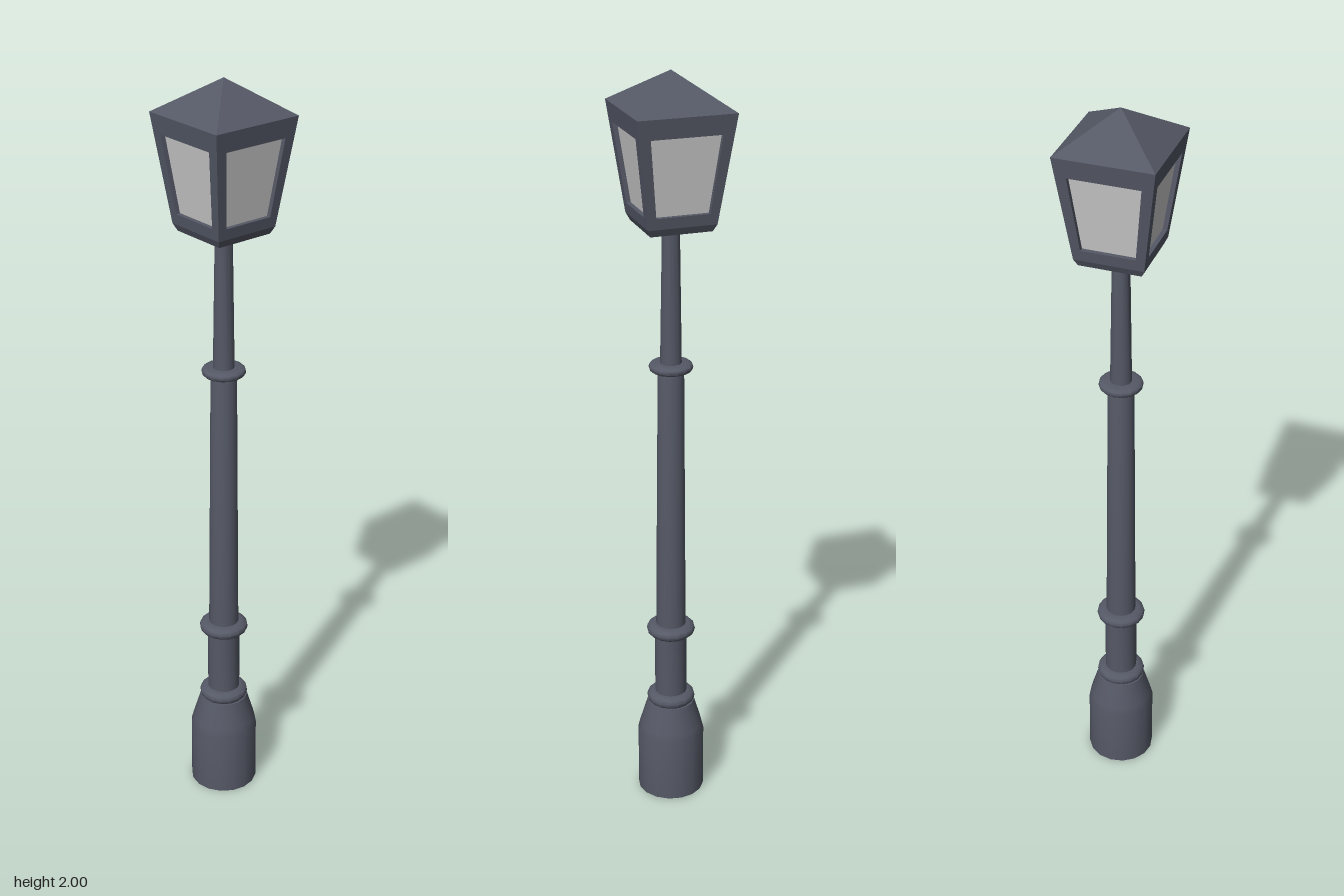
import * as THREE from 'three';
import { toCreasedNormals } from 'three/addons/utils/BufferGeometryUtils.js';

const SEGMENTS = 16;

export function createModel() {
  const lamp = new THREE.Group();
  lamp.name = 'streetLamp';

  const iron = new THREE.MeshStandardMaterial({ color: 0x555966 });
  const ironFlat = new THREE.MeshStandardMaterial({ color: 0x555966, flatShading: true });
  const glass = new THREE.MeshStandardMaterial({ color: 0xc8cccb, side: THREE.DoubleSide });

  const add = (parent, name, geometry, material) => {
    const mesh = new THREE.Mesh(geometry, material);
    mesh.name = name;
    parent.add(mesh);
    return mesh;
  };

  // Turned parts: profile of [radius, height] from bottom to top
  const turned = (name, profile) => {
    const points = profile.map(([r, y]) => new THREE.Vector2(r, y));
    const lathe = new THREE.LatheGeometry(points, SEGMENTS);
    add(lamp, name, toCreasedNormals(lathe, 0.6), iron);
  };

  // Rounded ring around the post
  const ring = (name, y, inner, outer, half) => {
    const profile = [[inner, y - half]];
    for (let i = 0; i <= 6; i++) {
      const a = -Math.PI / 2 + (i / 6) * Math.PI;
      profile.push([outer - half + half * Math.cos(a), y + half * Math.sin(a)]);
    }
    profile.push([inner, y + half]);
    turned(name, profile);
  };

  // Base and post
  turned('base', [[0, 0], [0.09, 0], [0.09, 0.18], [0.085, 0.2], [0.064, 0.27], [0.04, 0.27]]);
  ring('baseCollar', 0.283, 0.035, 0.065, 0.017);
  turned('lowerPost', [[0.043, 0.27], [0.043, 0.49]]);
  turned('middlePost', [[0.04, 0.48], [0.034, 1.22], [0.029, 1.245]]);
  turned('upperPost', [[0.028, 1.235], [0.022, 1.63]]);
  ring('lowerRing', 0.492, 0.03, 0.065, 0.016);
  ring('upperRing', 1.247, 0.024, 0.057, 0.011);

  // Lantern
  const lantern = new THREE.Group();
  lantern.name = 'lantern';
  lamp.add(lantern);

  const Y0 = 1.636, Y1 = 1.913, W0 = 0.089, W1 = 0.126;
  const wall = (y) => W0 + ((W1 - W0) * (y - Y0)) / (Y1 - Y0);

  // Square frustum given half widths and heights
  const square = (name, bottom, top, y0, y1) => {
    const g = new THREE.CylinderGeometry(top * Math.SQRT2, bottom * Math.SQRT2, y1 - y0, 4);
    g.rotateY(Math.PI / 4).translate(0, (y0 + y1) / 2, 0);
    add(lantern, name, g, ironFlat);
  };
  square('lanternFloor', 0.08, W0, 1.617, Y0);
  square('roof', W1, 0, Y1, 2);

  // Counter-clockwise four-corner loop on the sloping front wall, set back by inset
  const loop = (y0, y1, half0, half1, inset) => [
    [-half0, y0, wall(y0) - inset], [half0, y0, wall(y0) - inset],
    [half1, y1, wall(y1) - inset], [-half1, y1, wall(y1) - inset],
  ];
  const quads = (list) => {
    const g = new THREE.BufferGeometry();
    const corners = list.flatMap(([a, b, c, d]) => [a, b, c, a, c, d]);
    g.setAttribute('position', new THREE.Float32BufferAttribute(corners.flat(), 3));
    g.computeVertexNormals();
    return g;
  };
  const bridge = (outer, inner) => outer.map((p, i) => {
    const j = (i + 1) % 4;
    return [p, outer[j], inner[j], inner[i]];
  });

  // Four identical sides, each a frame with a recessed pane
  const edge = loop(Y0, Y1, W0, W1, 0);
  const opening = loop(1.665, 1.863, 0.069, 0.091, 0);
  const recess = loop(1.665, 1.863, 0.069, 0.091, 0.012);
  const frameGeometry = quads([...bridge(edge, opening), ...bridge(opening, recess)]);
  const paneGeometry = quads([recess]);
  ['front', 'left', 'back', 'right'].forEach((side, i) => {
    add(lantern, side + 'Frame', frameGeometry, ironFlat).rotation.y = (i * Math.PI) / 2;
    add(lantern, side + 'Pane', paneGeometry, glass).rotation.y = (i * Math.PI) / 2;
  });

  return lamp;
}
